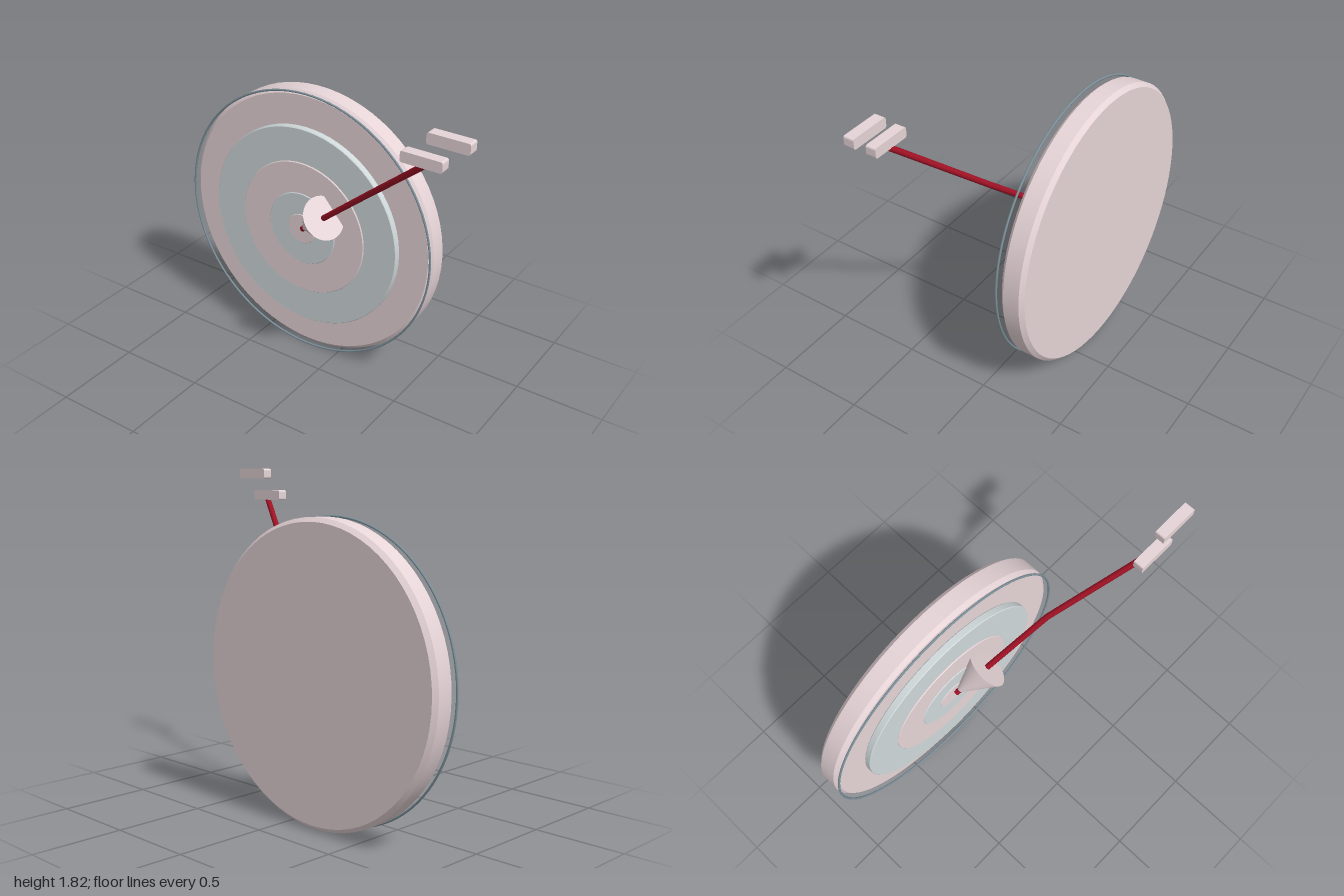
import * as THREE from 'three';
import { toCreasedNormals } from 'three/addons/utils/BufferGeometryUtils.js';

const PINK = 0xe6d4d7, BLUE = 0xcfd8da, STEEL = 0x7c919b, RED = 0xa01225;
const CX = -0.205, CY = 0.797;

function part(name, geometry, color, parent) {
  const mesh = new THREE.Mesh(geometry, new THREE.MeshStandardMaterial({ color }));
  mesh.name = name;
  parent.add(mesh);
  return mesh;
}

// Round plate with chamfered rims, facing +z, spanning back..front
function plate(radius, back, front, bevel) {
  const profile = [
    [0, back], [radius - bevel, back], [radius, back + bevel],
    [radius, front - bevel], [radius - bevel, front], [0, front],
  ].map(([r, z]) => new THREE.Vector2(r, z));
  const geometry = new THREE.LatheGeometry(profile, 72);
  geometry.rotateX(Math.PI / 2);
  return toCreasedNormals(geometry, 0.5);
}

// Bar with rounded corners in the front outline
function roundedBar(w, h, d, r) {
  const x = w / 2, y = h / 2;
  const shape = new THREE.Shape();
  shape.moveTo(-x + r, -y);
  shape.lineTo(x - r, -y).quadraticCurveTo(x, -y, x, -y + r);
  shape.lineTo(x, y - r).quadraticCurveTo(x, y, x - r, y);
  shape.lineTo(-x + r, y).quadraticCurveTo(-x, y, -x, y - r);
  shape.lineTo(-x, -y + r).quadraticCurveTo(-x, -y, -x + r, -y);
  const geometry = new THREE.ExtrudeGeometry(shape, { depth: d, bevelEnabled: false, curveSegments: 4 });
  return geometry.translate(0, 0, -d / 2);
}

// Place a y-aligned mesh between two points
function span(mesh, a, b) {
  mesh.position.lerpVectors(a, b, 0.5);
  mesh.quaternion.setFromUnitVectors(new THREE.Vector3(0, 1, 0), b.clone().sub(a).normalize());
}

export function createModel() {
  const model = new THREE.Group();
  model.name = 'target';

  // Backing board, stepped colour bands and outer wire ring
  const board = new THREE.Group();
  board.name = 'board';
  board.position.set(CX, CY, 0);
  model.add(board);
  part('backingBoard', plate(0.79, -0.32, -0.185, 0.022), PINK, board);
  [
    ['outerBand', 0.598, -0.14, BLUE],
    ['middleBand', 0.4, -0.134, PINK],
    ['innerBand', 0.217, -0.13, BLUE],
    ['bullseye', 0.09, -0.127, PINK],
  ].forEach(([name, r, front, color]) => part(name, plate(r, -0.18, front, 0.004), color, board));
  part('wireRing', new THREE.TorusGeometry(0.79, 0.006, 8, 96), STEEL, board).position.z = -0.165;

  // Bent rod from the bullseye to the lower bar
  const points = [
    [-0.19, 0.807, -0.118], [-0.01, 0.96, -0.06], [0.32, 1.245, 0.045], [0.78, 1.65, 0.285],
  ].map((p) => new THREE.Vector3(...p));
  const rod = new THREE.Group();
  rod.name = 'rod';
  model.add(rod);
  for (let i = 0; i < points.length - 1; i++) {
    const length = points[i].distanceTo(points[i + 1]);
    span(part('rodSegment', new THREE.CylinderGeometry(0.016, 0.016, length, 16), RED, rod), points[i], points[i + 1]);
  }
  part('rodJoint', new THREE.SphereGeometry(0.016, 16, 10), RED, rod).position.copy(points[2]);

  // Cone head with its tip in the bullseye
  const coneLength = points[0].distanceTo(points[1]);
  span(part('coneHead', new THREE.CylinderGeometry(0.123, 0.002, coneLength, 48), PINK, model), points[0], points[1]);

  // Two bars at the tail
  const bar = roundedBar(0.216, 0.056, 0.056, 0.012);
  part('lowerBar', bar, PINK, model).position.set(0.764, 1.667, 0.29);
  part('upperBar', bar, PINK, model).position.set(0.892, 1.79, 0.29);
  return model;
}
